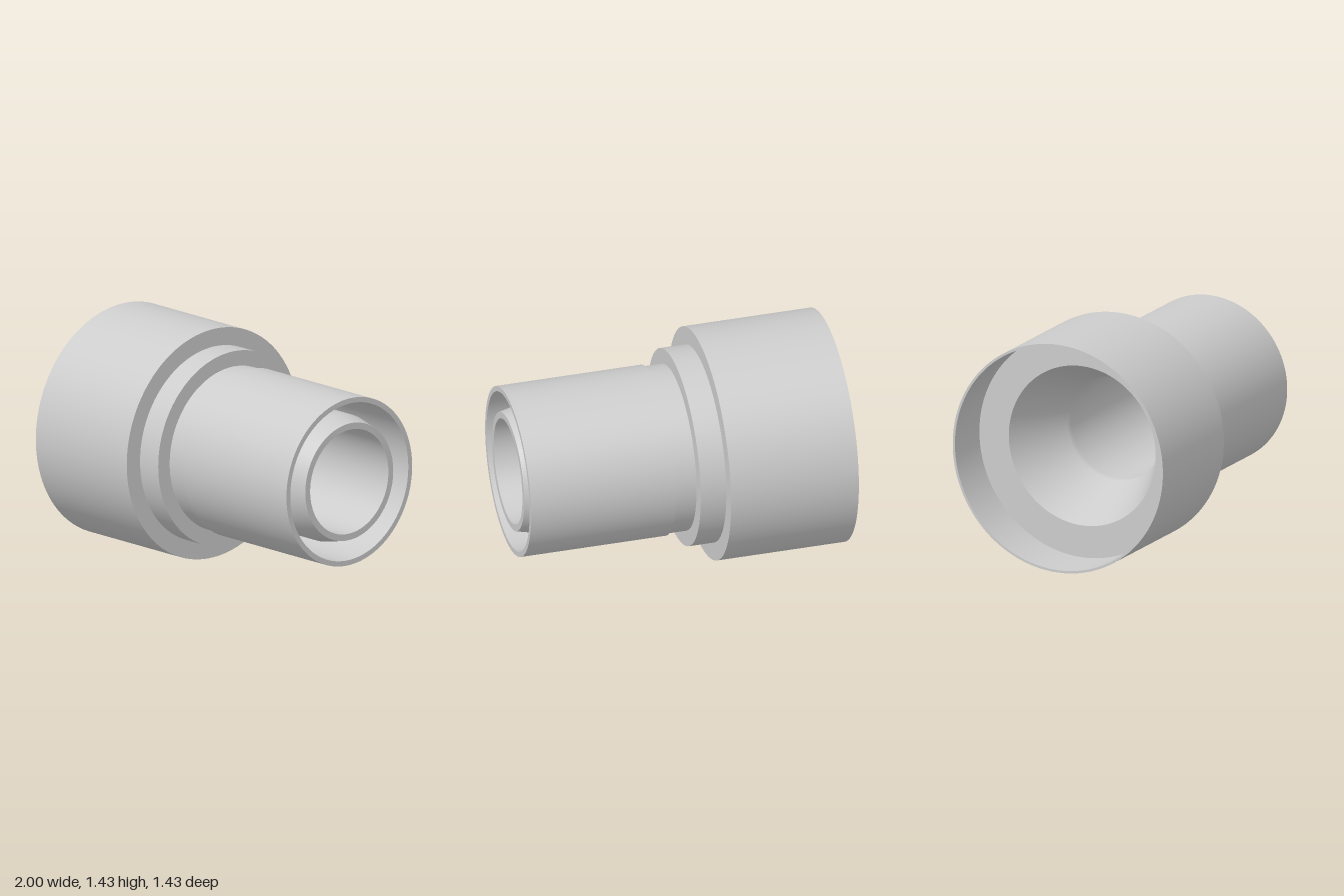
import * as THREE from 'three';
import { mergeGeometries } from 'three/addons/utils/BufferGeometryUtils.js';

const AXIS_HEIGHT = 0.715;
const SEGMENTS = 128;

// Revolves each run of [radius, x] points about the x axis; edges between runs stay sharp
function revolve(name, runs, material) {
  const parts = runs.map((run) =>
    new THREE.LatheGeometry(run.map(([r, x]) => new THREE.Vector2(r, x)), SEGMENTS));
  const geometry = mergeGeometries(parts);
  geometry.rotateZ(-Math.PI / 2);
  const mesh = new THREE.Mesh(geometry, material);
  mesh.name = name;
  return mesh;
}

// Splits a chain of points into separate straight runs
const sharp = (points) => points.slice(1).map((p, i) => [points[i], p]);

export function createModel() {
  const grey = new THREE.MeshStandardMaterial({ color: 0xcccccc });
  grey.name = 'light grey';

  const model = new THREE.Group();
  model.name = 'pipeAdapter';

  const body = new THREE.Group();
  body.name = 'body';
  body.position.y = AXIS_HEIGHT;
  model.add(body);

  // Wide socket with its thin rim, inner shoulder and stepped collar
  body.add(revolve('socket', sharp([
    [0.5, -0.68], [0.7, -0.68], [0.7, -1], [0.715, -1], [0.715, -0.2],
    [0.605, -0.2], [0.605, -0.04], [0.51, -0.04], [0.51, 0.09],
  ]), grey));

  // Outer sleeve of the narrow end, down to the stepped floor of its ring gap
  body.add(revolve('outerSleeve', sharp([
    [0.51, 0.09], [0.522, 0.09], [0.522, 1], [0.49, 1], [0.49, 0.1],
    [0.442, 0.1], [0.442, 0.2], [0.395, 0.2],
  ]), grey));

  // Inner tube with a chamfered tip
  body.add(revolve('innerTube', sharp([
    [0.395, 0.2], [0.395, 0.87], [0.365, 1], [0.325, 1],
  ]), grey));

  // Through bore, flaring smoothly towards the socket
  body.add(revolve('bore', [[
    [0.325, 1], [0.325, -0.2], [0.325, -0.25], [0.5, -0.68],
  ]], grey));

  return model;
}
